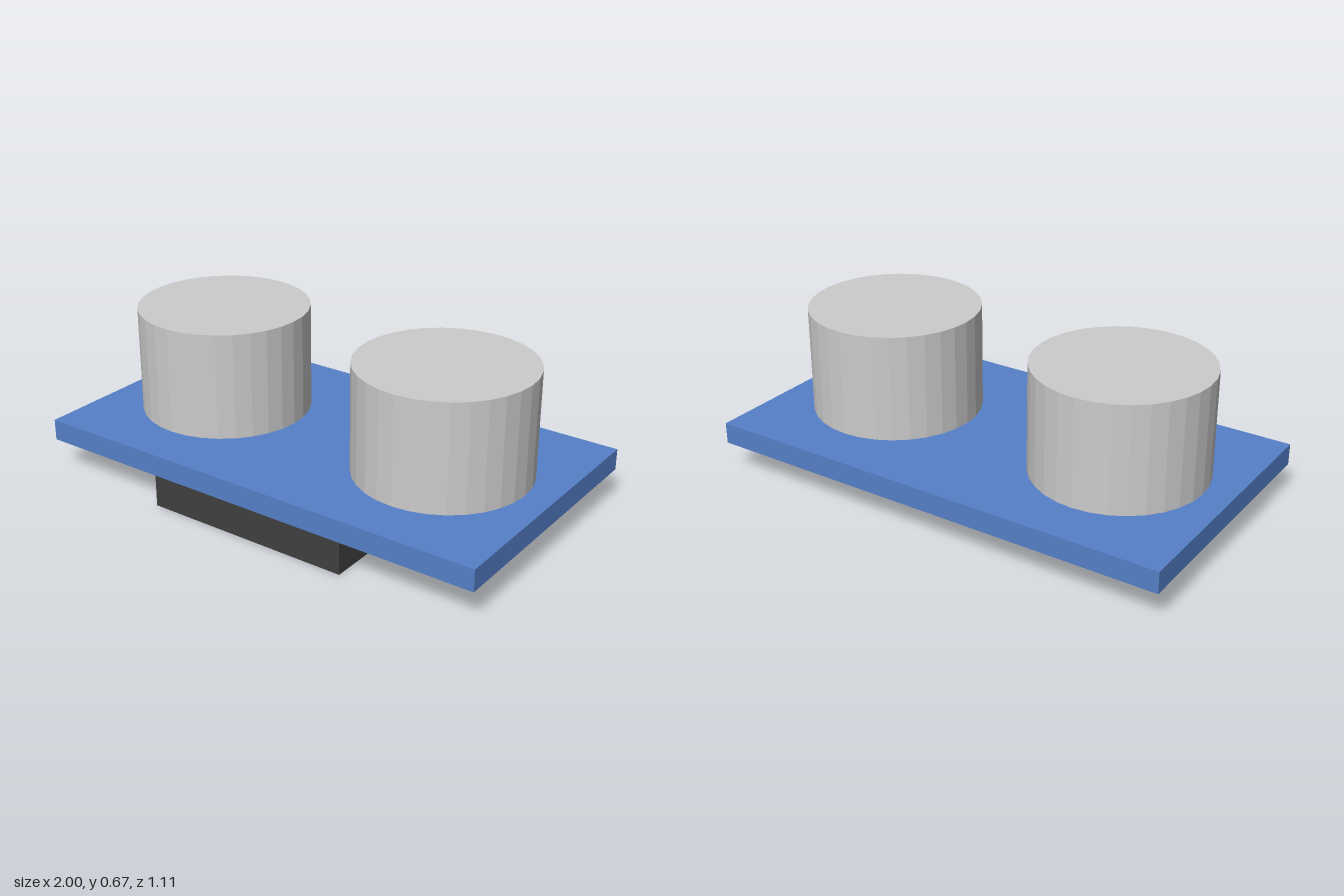
import * as THREE from 'three';

const material = (color) => new THREE.MeshStandardMaterial({ color, flatShading: true });

export function createModel() {
  const model = new THREE.Group();
  model.name = 'sensorBoard';

  const add = (name, geometry, mat, x, y, z) => {
    const mesh = new THREE.Mesh(geometry, mat);
    mesh.name = name;
    mesh.position.set(x, y, z);
    model.add(mesh);
  };

  // Flat board
  const bottom = 0.1333, top = 0.2222, depth = 1.1111;
  add('board', new THREE.BoxGeometry(2, top - bottom, depth), material(0x5580c8), 0, (bottom + top) / 2, 0);

  // Pair of upright drums on the board
  const drumHeight = 0.4444;
  const drum = new THREE.CylinderGeometry(0.3556, 0.3556, drumHeight, 32);
  const grey = material(0xcccccc);
  for (const [name, side] of [['leftDrum', 1], ['rightDrum', -1]]) {
    add(name, drum, grey, side * 0.5333, top + drumHeight / 2, 0);
  }

  // Connector block under the front edge
  const blockDepth = 0.2222;
  add('connectorBlock', new THREE.BoxGeometry(0.8889, bottom, blockDepth), material(0x404040),
    0, bottom / 2, (depth - blockDepth) / 2);

  return model;
}
